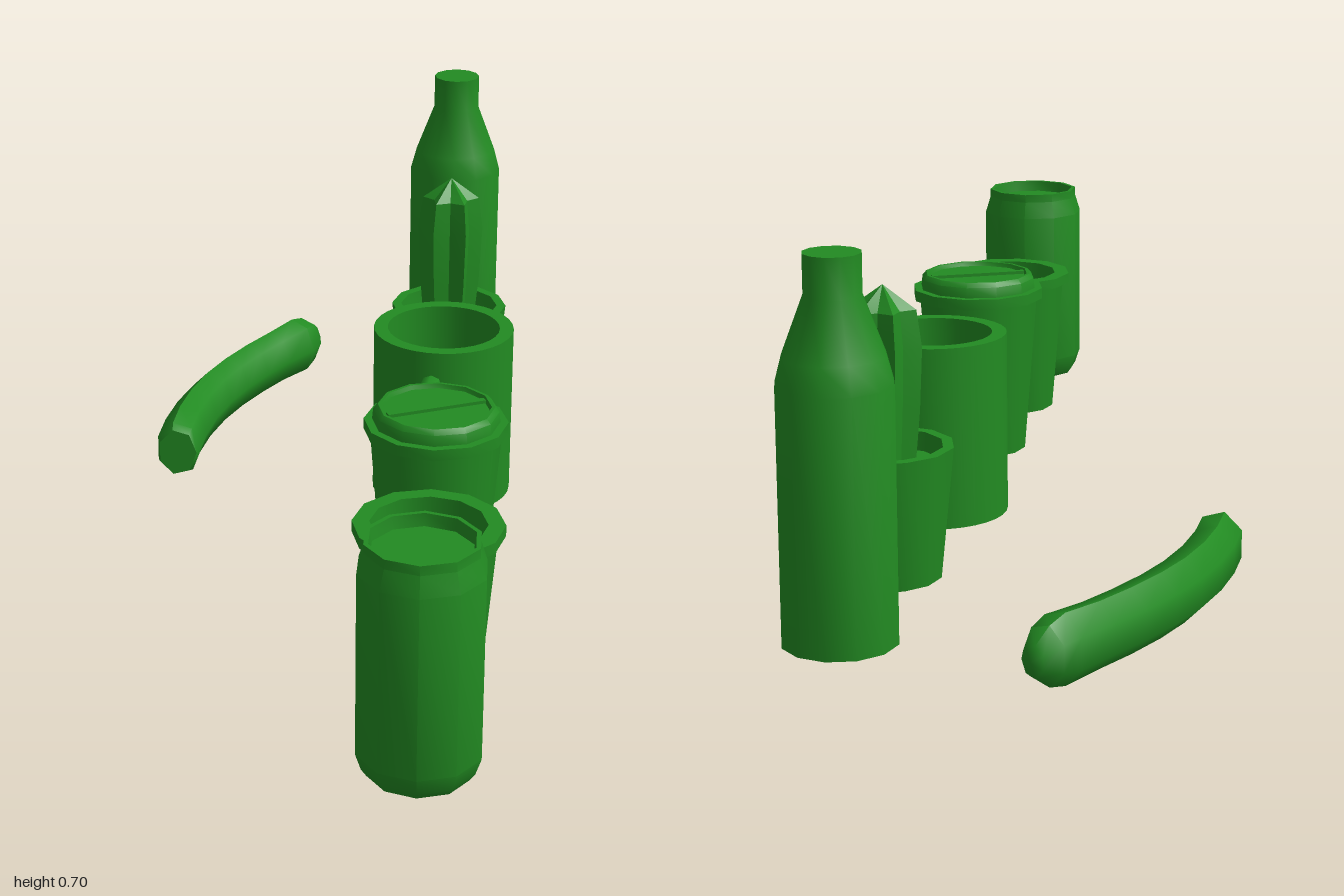
import * as THREE from 'three';
import { toCreasedNormals, mergeVertices } from 'three/addons/utils/BufferGeometryUtils.js';

const BASE = 0.062; // height at which the row of items stands
const ROW_X = 0.228;
const green = new THREE.MeshStandardMaterial({ color: 0x228b22 });

function mesh(name, geometry) {
  const m = new THREE.Mesh(geometry, green);
  m.name = name;
  return m;
}

// Revolved part from [radius, height] pairs, keeping hard edges sharp
function turned(name, profile, sides) {
  const points = profile.map(([r, y]) => new THREE.Vector2(r, y));
  return mesh(name, toCreasedNormals(new THREE.LatheGeometry(points, sides), 0.66));
}

function item(name, z, ...parts) {
  const g = new THREE.Group();
  g.name = name;
  g.position.set(ROW_X, 0, z);
  g.add(...parts);
  return g;
}

// Six-ribbed cactus: a turned form with every second column pulled in
function cactusPlant() {
  const profile = [[0.052, 0.25], [0.062, 0.36], [0.067, 0.47], [0.058, 0.535], [0, 0.577]];
  const geo = new THREE.LatheGeometry(profile.map(([r, y]) => new THREE.Vector2(r, y)), 12);
  const pos = geo.attributes.position;
  for (let i = 0; i < pos.count; i++) {
    const column = Math.floor(i / profile.length);
    const k = column % 2 ? 1 : 0.68;
    pos.setXYZ(i, pos.getX(i) * k, pos.getY(i), pos.getZ(i) * k);
  }
  return mesh('cactus', toCreasedNormals(geo, 0.4));
}

// Mug handle: rounded loop bulging toward the front
function mugHandle() {
  const path = new THREE.CatmullRomCurve3([
    [0.334, 0.12], [0.334, 0.165], [0.318, 0.208], [0.27, 0.225],
    [0.2, 0.225], [0.152, 0.208], [0.134, 0.165], [0.134, 0.12],
  ].map(([y, z]) => new THREE.Vector3(0, y, z)));
  const handle = mesh('handle', new THREE.TubeGeometry(path, 28, 0.021, 8));
  handle.rotation.y = -0.14;
  return handle;
}

// Banana: seven-sided cross-sections swept along a curve on the ground
function banana() {
  const SIDES = 7;
  // x, z, radius
  const rings = [
    [-0.32, -0.286, 0], [-0.32, -0.286, 0.04], [-0.32, -0.305, 0.047], [-0.316, -0.39, 0.047],
    [-0.303, -0.48, 0.047], [-0.28, -0.57, 0.047], [-0.25, -0.65, 0.047], [-0.212, -0.73, 0.047],
    [-0.17, -0.805, 0.047], [-0.125, -0.878, 0.05], [-0.107, -0.915, 0.042],
    [-0.093, -0.945, 0.022], [-0.09, -0.95, 0],
  ];
  const positions = [], index = [];
  rings.forEach(([x, z, r], i) => {
    const a = rings[Math.max(i - 1, 0)], b = rings[Math.min(i + 1, rings.length - 1)];
    const t = new THREE.Vector2(b[0] - a[0], b[1] - a[1]).normalize();
    for (let j = 0; j < SIDES; j++) {
      const angle = (j / SIDES) * Math.PI * 2;
      const side = Math.cos(angle) * r;
      positions.push(x - t.y * side, 0.062 + Math.sin(angle) * r * 1.27, z + t.x * side);
      if (i === rings.length - 1) continue;
      const k = (j + 1) % SIDES, p = i * SIDES, q = p + SIDES;
      index.push(p + j, q + j, q + k, p + j, q + k, p + k);
    }
  });
  const geo = new THREE.BufferGeometry();
  geo.setAttribute('position', new THREE.Float32BufferAttribute(positions, 3));
  geo.setIndex(index);
  return mesh('banana', toCreasedNormals(mergeVertices(geo), 0.95));
}

export function createModel() {
  const model = new THREE.Group();
  model.name = 'tableItems';

  // Drinks can with sunken top
  const can = item('can', 0.892, turned('canBody', [
    [0, BASE], [0.088, BASE], [0.097, 0.075], [0.107, 0.105], [0.107, 0.43],
    [0.096, 0.465], [0.096, 0.482], [0.088, 0.482], [0.085, 0.46], [0, 0.46],
  ], 10));

  // Open cup with rolled rim
  const cup = item('openCup', 0.585, turned('cupBody', [
    [0, BASE], [0.095, BASE], [0.118, 0.335], [0.131, 0.335], [0.131, 0.355],
    [0.101, 0.355], [0.086, 0.08], [0, 0.08],
  ], 12));

  // Takeaway cup with lid and drinking slot
  const slot = mesh('lidBar', new THREE.BoxGeometry(0.19, 0.012, 0.012));
  slot.position.y = 0.416;
  slot.rotation.y = 0.43;
  const lidded = item('liddedCup', 0.25,
    turned('cupBody', [[0, BASE], [0.095, BASE], [0.12, 0.376], [0, 0.376]], 12),
    turned('lid', [
      [0, 0.374], [0.131, 0.374], [0.131, 0.395], [0.116, 0.395], [0.114, 0.415],
      [0.106, 0.424], [0.1, 0.424], [0.097, 0.416], [0, 0.416],
    ], 12), slot);

  // Mug
  const mug = item('mug', -0.18, turned('mugBody', [
    [0, BASE], [0.137, BASE], [0.137, 0.402], [0.11, 0.402], [0.11, 0.09], [0, 0.09],
  ], 32), mugHandle());

  // Potted cactus
  const potted = item('pottedCactus', -0.572, turned('pot', [
    [0, BASE], [0.096, BASE], [0.12, 0.296], [0.101, 0.296], [0.098, 0.262], [0, 0.262],
  ], 12), cactusPlant());

  // Bottle
  const bottle = item('bottle', -0.903, turned('bottleBody', [
    [0, BASE], [0.097, BASE], [0.097, 0.49], [0.085, 0.535], [0.048, 0.632], [0.048, 0.7], [0, 0.7],
  ], 12));

  model.add(can, cup, lidded, mug, potted, bottle, banana());
  return model;
}
